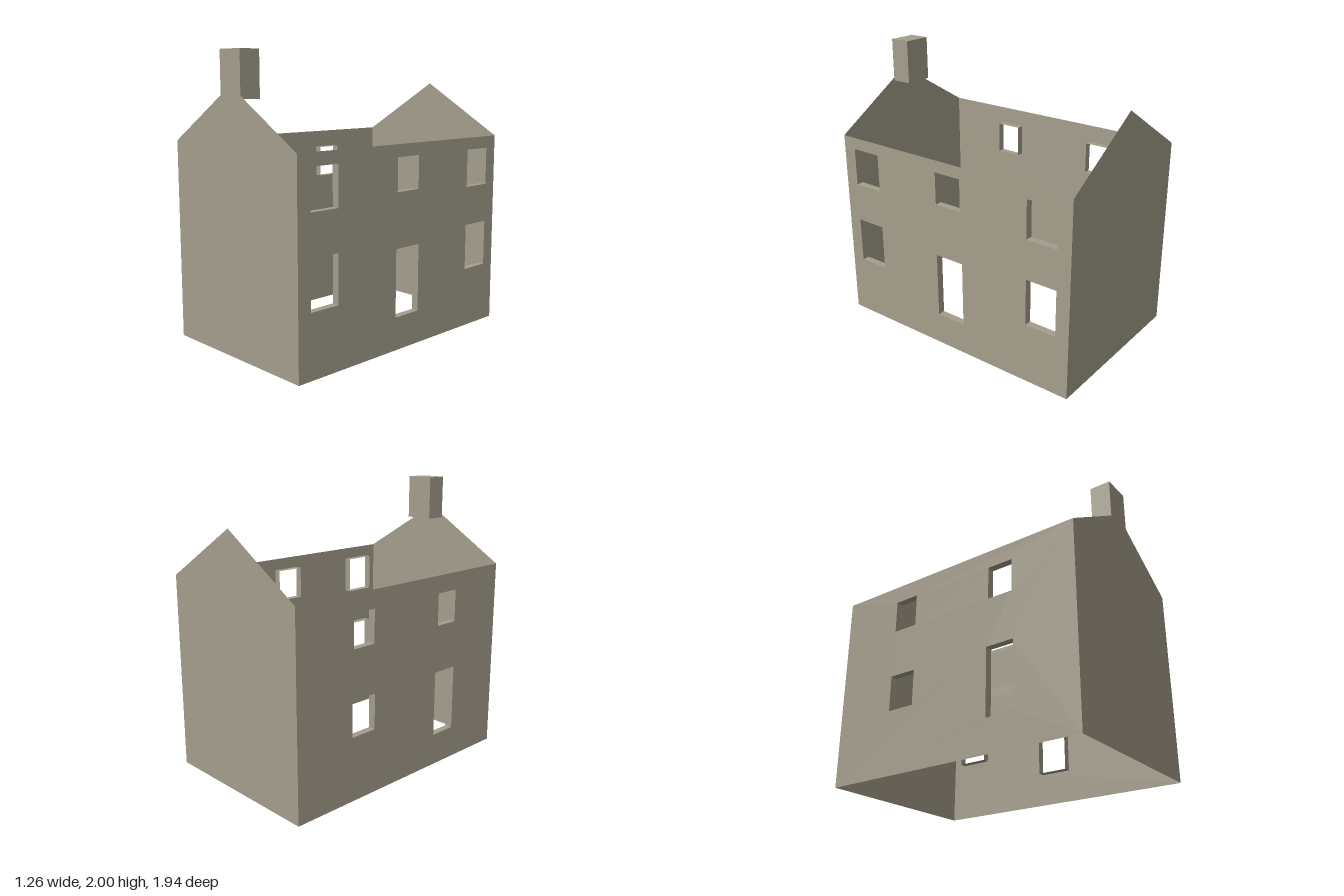
import * as THREE from 'three';

const W = 0.63, L = 0.97, EAVE = 1.395, PEAK = 1.775, REVEAL = 0.052;

// Openings as [u0, u1, y0, y1], u running along the wall
const rightOpenings = [
  [-0.87, -0.64, 1.04, 1.31], [0.64, 0.87, 1.04, 1.31],
  [-0.87, -0.64, 0.43, 0.76], [0.64, 0.87, 0.43, 0.76],
  [-0.105, 0.105, 1.08, 1.31],
  [-0.113, 0.113, 0.23, 0.70],
];
const leftOpenings = [
  [-0.5, -0.315, 1.04, 1.27], [0.315, 0.5, 1.04, 1.27],
  [-0.51, -0.305, 0.45, 0.70],
  [0.305, 0.51, 0.23, 0.70],
];

export function createModel() {
  const stone = new THREE.MeshStandardMaterial({ color: 0xa49e8c, side: THREE.DoubleSide });
  stone.name = 'stone';
  const house = new THREE.Group();
  house.name = 'house';

  function add(parent, geometry, name) {
    const mesh = new THREE.Mesh(geometry, stone);
    mesh.name = name;
    parent.add(mesh);
    return mesh;
  }

  const outline = (points) => new THREE.Shape(points.map(([x, y]) => new THREE.Vector2(x, y)));

  const rectangle = (u0, u1, y0, y1) => [[u0, y0], [u1, y0], [u1, y1], [u0, y1]];

  // Four strips lining an opening, running inward from the wall face
  function addReveal(parent, [u0, u1, y0, y1]) {
    const reveal = new THREE.Group();
    reveal.name = 'openingReveal';
    const u = (u0 + u1) / 2, y = (y0 + y1) / 2;
    for (const s of [-1, 1]) {
      const jamb = add(reveal, new THREE.PlaneGeometry(REVEAL, y1 - y0), 'jamb');
      jamb.rotation.y = -s * Math.PI / 2;
      jamb.position.set(s < 0 ? u0 : u1, y, -REVEAL / 2);
      const sill = add(reveal, new THREE.PlaneGeometry(u1 - u0, REVEAL), s < 0 ? 'sill' : 'lintel');
      sill.rotation.x = s * Math.PI / 2;
      sill.position.set(u, s < 0 ? y0 : y1, -REVEAL / 2);
    }
    parent.add(reveal);
  }

  // Long side walls with window and door openings
  function addSideWall(side, openings, name) {
    const wall = new THREE.Group();
    wall.name = name;
    const shape = outline(rectangle(-L, L, 0, EAVE));
    for (const o of openings) {
      shape.holes.push(outline(rectangle(...o)));
      addReveal(wall, o);
    }
    add(wall, new THREE.ShapeGeometry(shape), name + 'Face');
    wall.rotation.y = side * Math.PI / 2;
    wall.position.x = side * W;
    house.add(wall);
  }
  addSideWall(1, rightOpenings, 'leftSideWall');
  addSideWall(-1, leftOpenings, 'rightSideWall');

  // Gable end walls; the front one carries the chimney face
  const C = 0.104, shoulder = PEAK - (PEAK - EAVE) * C / W;
  const front = outline([[-W, 0], [W, 0], [W, EAVE], [C, shoulder], [C, 2], [-C, 2], [-C, shoulder], [-W, EAVE]]);
  add(house, new THREE.ShapeGeometry(front), 'frontGable').position.z = L;

  const back = outline([[-W, 0], [W, 0], [W, EAVE], [0, PEAK], [-W, EAVE]]);
  const backGable = add(house, new THREE.ShapeGeometry(back), 'backGable');
  backGable.rotation.y = Math.PI;
  backGable.position.z = -L;

  // Chimney stack behind the front gable
  const depth = 0.15;
  add(house, new THREE.BoxGeometry(2 * C, 0.31, depth), 'chimney').position.set(0, 1.845, L - depth / 2 - 0.001);

  return house;
}
